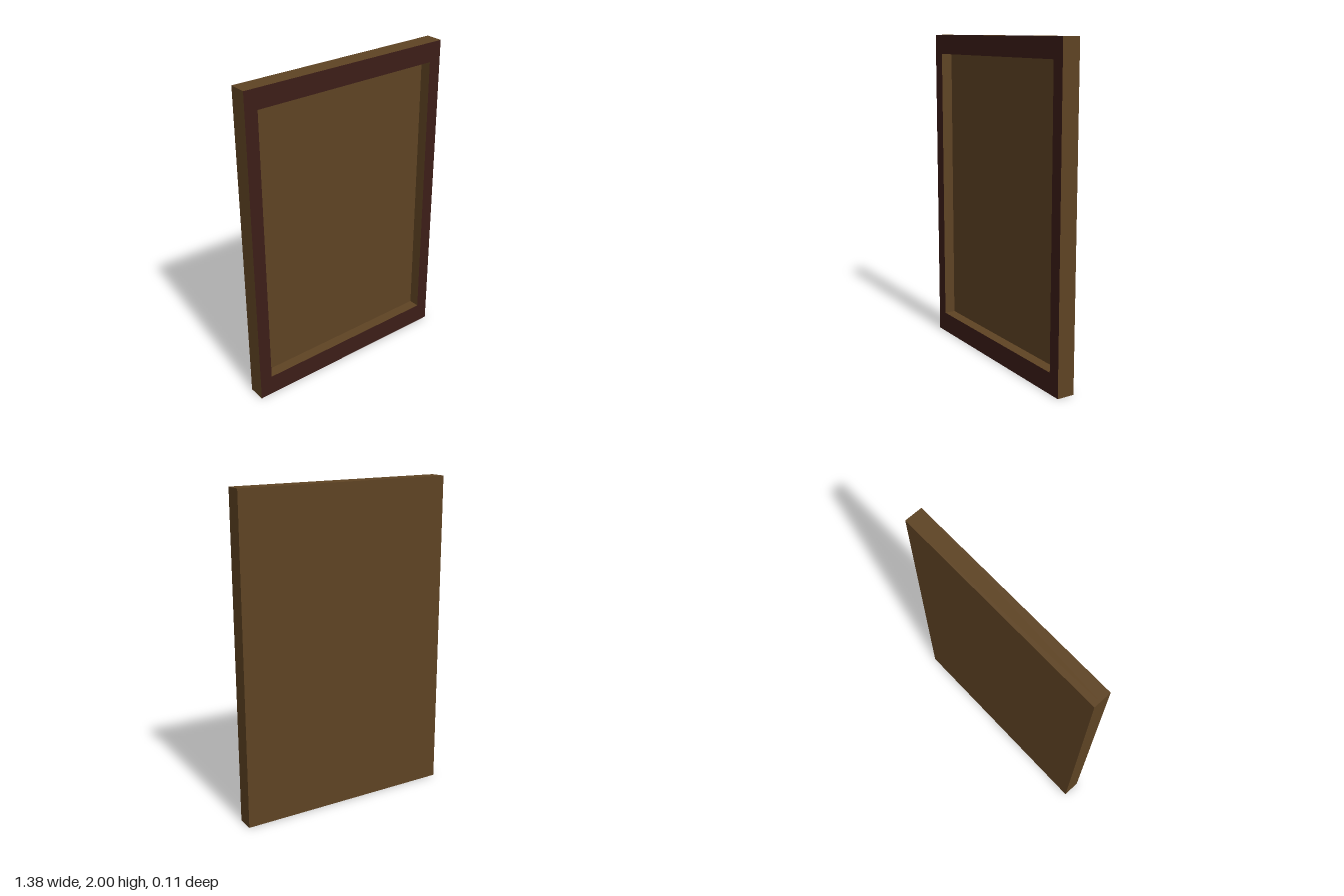
import * as THREE from 'three';

const W = 1.38, H = 2, D = 0.11;   // overall size
const FLOOR = -0.015;              // z of the recessed panel surface

// Rectangle corners, counter-clockwise
function rect(x0, y0, x1, y1) {
  return [[x0, y0], [x1, y0], [x1, y1], [x0, y1]].map(([x, y]) => new THREE.Vector2(x, y));
}

export function createModel() {
  const model = new THREE.Group();
  const wood = new THREE.MeshStandardMaterial({ color: 0x5e4323 });
  const darkWood = new THREE.MeshStandardMaterial({ color: 0x3c1d18 });

  // Border with a rectangular opening: dark front face, brown edges
  const outline = new THREE.Shape(rect(-W / 2, 0, W / 2, H));
  outline.holes.push(new THREE.Path(rect(-0.61, 0.13, 0.61, 1.88)));
  const borderGeometry = new THREE.ExtrudeGeometry(outline, { depth: D / 2 - FLOOR, bevelEnabled: false });
  const border = new THREE.Mesh(borderGeometry, [darkWood, wood]);
  border.name = 'frameBorder';
  border.position.z = FLOOR;
  model.add(border);

  // Solid backing, seen through the opening as the recessed panel
  const backDepth = FLOOR + D / 2;
  const back = new THREE.Mesh(new THREE.BoxGeometry(W, H, backDepth), wood);
  back.name = 'backPanel';
  back.position.set(0, H / 2, -D / 2 + backDepth / 2);
  model.add(back);

  return model;
}
